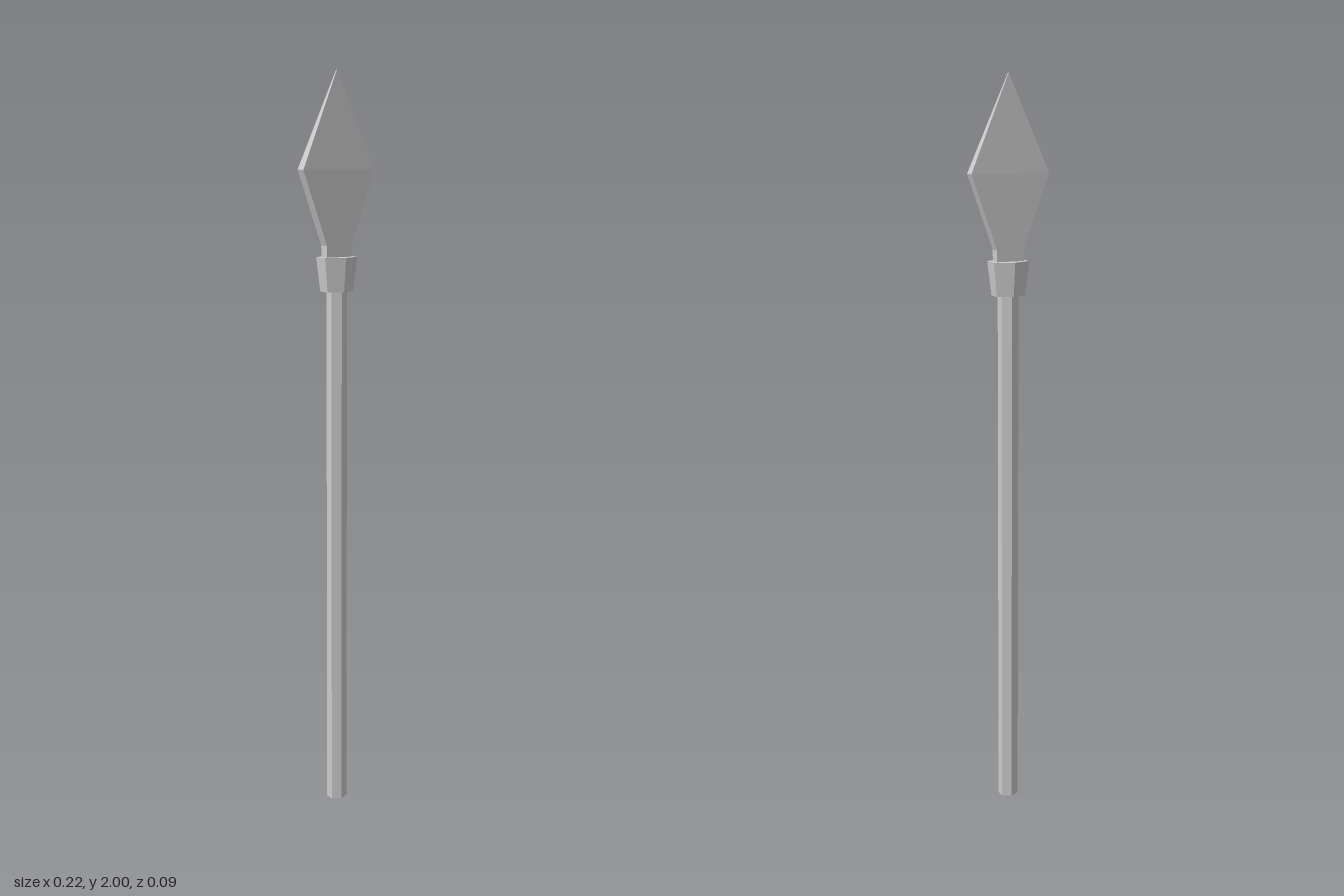
import * as THREE from 'three';

const material = new THREE.MeshStandardMaterial({ color: 0xcccccc, flatShading: true });

// Six-sided prism with an edge facing the front, widened in x to the given half width
function hexPrism(name, topZ, bottomZ, topX, y0, y1) {
  const geometry = new THREE.CylinderGeometry(topZ, bottomZ, y1 - y0, 6);
  geometry.scale(topX / (topZ * Math.sin(Math.PI / 3)), 1, 1);
  geometry.translate(0, (y0 + y1) / 2, 0);
  const mesh = new THREE.Mesh(geometry, material);
  mesh.name = name;
  return mesh;
}

// Flat diamond blade: a box whose levels follow [y, half width, half thickness]
function blade() {
  const levels = [
    [1.48, 0.038, 0.0145],
    [1.555, 0.038, 0.0145],
    [1.75, 0.109, 0.0145],
    [2.0, 0, 0.002],
  ];
  const geometry = new THREE.BoxGeometry(2, levels.length - 1, 2, 1, levels.length - 1, 1);
  const p = geometry.attributes.position;
  for (let i = 0; i < p.count; i++) {
    const level = Math.round(p.getY(i) + (levels.length - 1) / 2);
    const [y, halfX, halfZ] = levels[level];
    p.setXYZ(i, p.getX(i) * halfX, y, p.getZ(i) * halfZ - 0.0015);
  }
  geometry.computeVertexNormals();
  const mesh = new THREE.Mesh(geometry, material);
  mesh.name = 'blade';
  return mesh;
}

export function createModel() {
  const spear = new THREE.Group();
  spear.name = 'spear';
  spear.add(
    hexPrism('shaft', 0.0245, 0.0245, 0.0245, 0, 1.46),
    hexPrism('collar', 0.045, 0.036, 0.05, 1.435, 1.525),
    blade(),
  );
  return spear;
}
